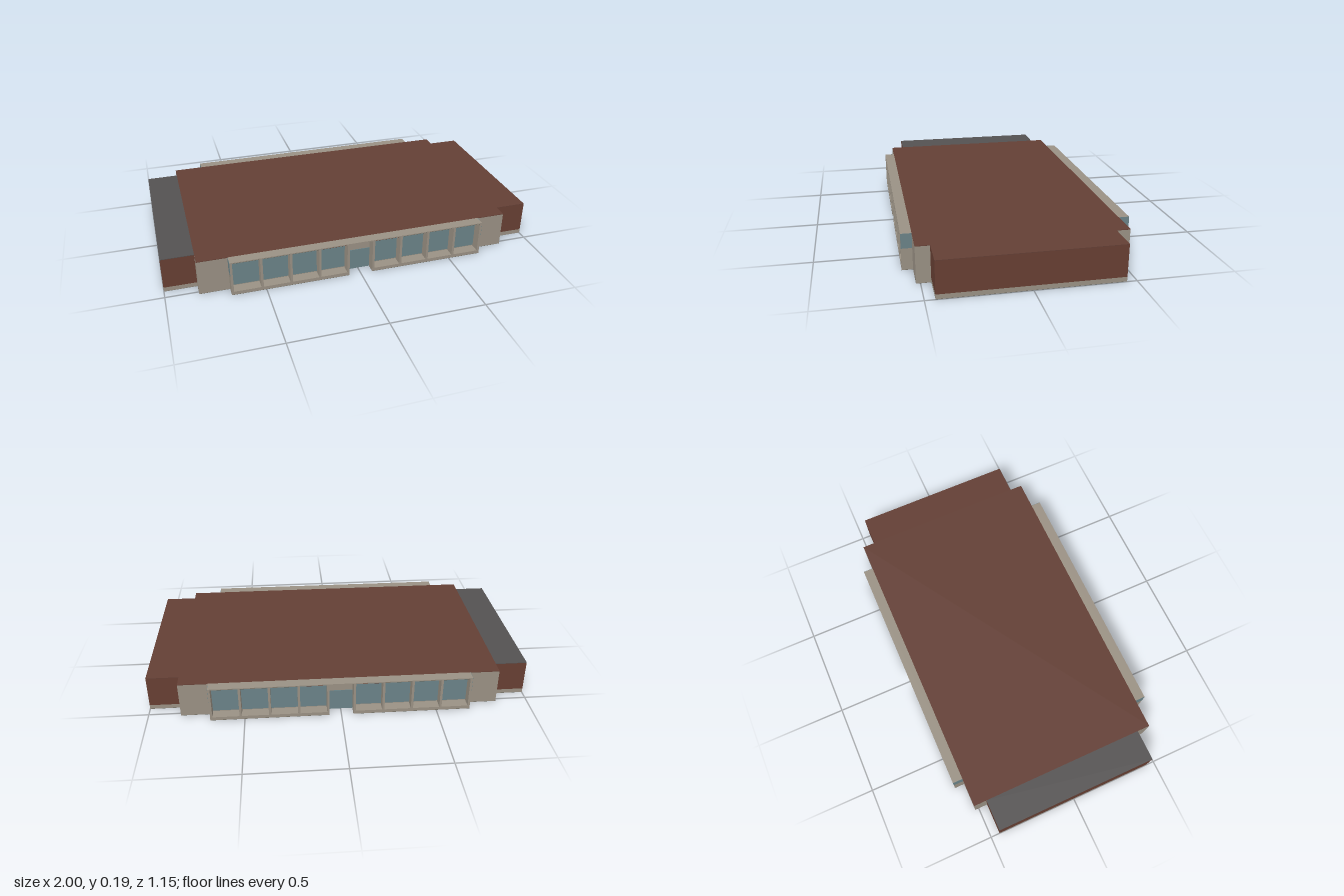
import * as THREE from 'three';

const material = (color) => new THREE.MeshStandardMaterial({ color, flatShading: true });

export function createModel() {
  const building = new THREE.Group();
  building.name = 'building';
  const concrete = material(0x9a9184);
  const brick = material(0x673f33);
  const roofBrown = material(0x633f35);
  const roofGrey = material(0x545151);
  const glass = material(0x6b8388);
  const floorGrey = material(0x66655b);
  const floorBlue = material(0x46565c);

  // Box given by its extents along each axis
  function box(parent, name, mat, [x0, x1], [y0, y1], [z0, z1]) {
    const mesh = new THREE.Mesh(new THREE.BoxGeometry(x1 - x0, y1 - y0, z1 - z0), mat);
    mesh.position.set((x0 + x1) / 2, (y0 + y1) / 2, (z0 + z1) / 2);
    mesh.name = name;
    parent.add(mesh);
    return mesh;
  }

  const H = 0.192, ROOF = 0.189, BASE = 0.025;
  const coreX = 0.832, coreZ = 0.521, wingZ = 0.45, bayX = 0.677, bayZ = 0.576;

  // Central hall with its roof
  box(building, 'coreWalls', concrete, [-coreX, coreX], [0.002, ROOF], [-coreZ, coreZ]);
  box(building, 'coreRoof', roofBrown, [-coreX, coreX], [ROOF, H], [-coreZ, coreZ]);

  // End wings: brick above a concrete plinth
  for (const side of [-1, 1]) {
    const span = side > 0 ? [coreX, 1] : [-1, -coreX];
    const z = [-wingZ, wingZ];
    box(building, 'wingPlinth', concrete, span, [0.002, BASE], z);
    box(building, 'wingBrickWall', brick, span, [BASE, ROOF], z);
    box(building, 'wingRoof', side > 0 ? roofBrown : roofGrey, span, [ROOF, H], z);
  }

  // Underside
  box(building, 'coreFloor', floorGrey, [-coreX, coreX], [0.001, 0.002], [-coreZ, coreZ]);
  box(building, 'wingFloor', floorGrey, [-1, 1], [0.001, 0.002], [-wingZ, wingZ]);
  box(building, 'floorPanel', floorBlue, [0.52, 0.67], [0, 0.001], [-wingZ, wingZ]);

  // Window front, used on both long sides
  function windowFront() {
    const front = new THREE.Group();
    front.name = 'windowFront';
    const depth = [coreZ, bayZ];
    box(front, 'canopy', concrete, [-bayX, bayX], [0.187, H], depth);
    box(front, 'door', glass, [-0.062, 0.062], [0.002, 0.117], [coreZ, coreZ + 0.003]);
    const first = 0.068, pitch = (bayX - 0.006 - first) / 4, half = 0.006;

    for (const side of [-1, 1]) {
      const range = (a, b) => (side > 0 ? [a, b] : [-b, -a]);
      box(front, 'sill', concrete, range(first - half, bayX), [0.002, 0.02], depth);
      box(front, 'sillUnderside', floorGrey, range(first - half, bayX), [0.001, 0.002], depth);
      for (let i = 0; i < 5; i++) {
        const x = first + pitch * i;
        box(front, 'fin', concrete, range(x - half, x + half), [0.02, 0.187], depth);
        if (i === 4) continue;
        const bay = range(x + half, x + pitch - half);
        box(front, 'windowPane', glass, bay, [0.026, 0.187], [coreZ, coreZ + 0.004]);
        box(front, 'baySoffit', i === 0 ? brick : floorGrey, bay, [0.185, 0.187],
          [coreZ + 0.004, bayZ - 0.001]);
      }
      // Glazed upper half of the outer end
      box(front, 'endPane', glass, range(bayX, bayX + 0.001), [0.115, H], depth);
    }
    return front;
  }

  const front = windowFront();
  const back = windowFront();
  back.name = 'backWindowFront';
  back.rotation.y = Math.PI;
  building.add(front, back);

  return building;
}
